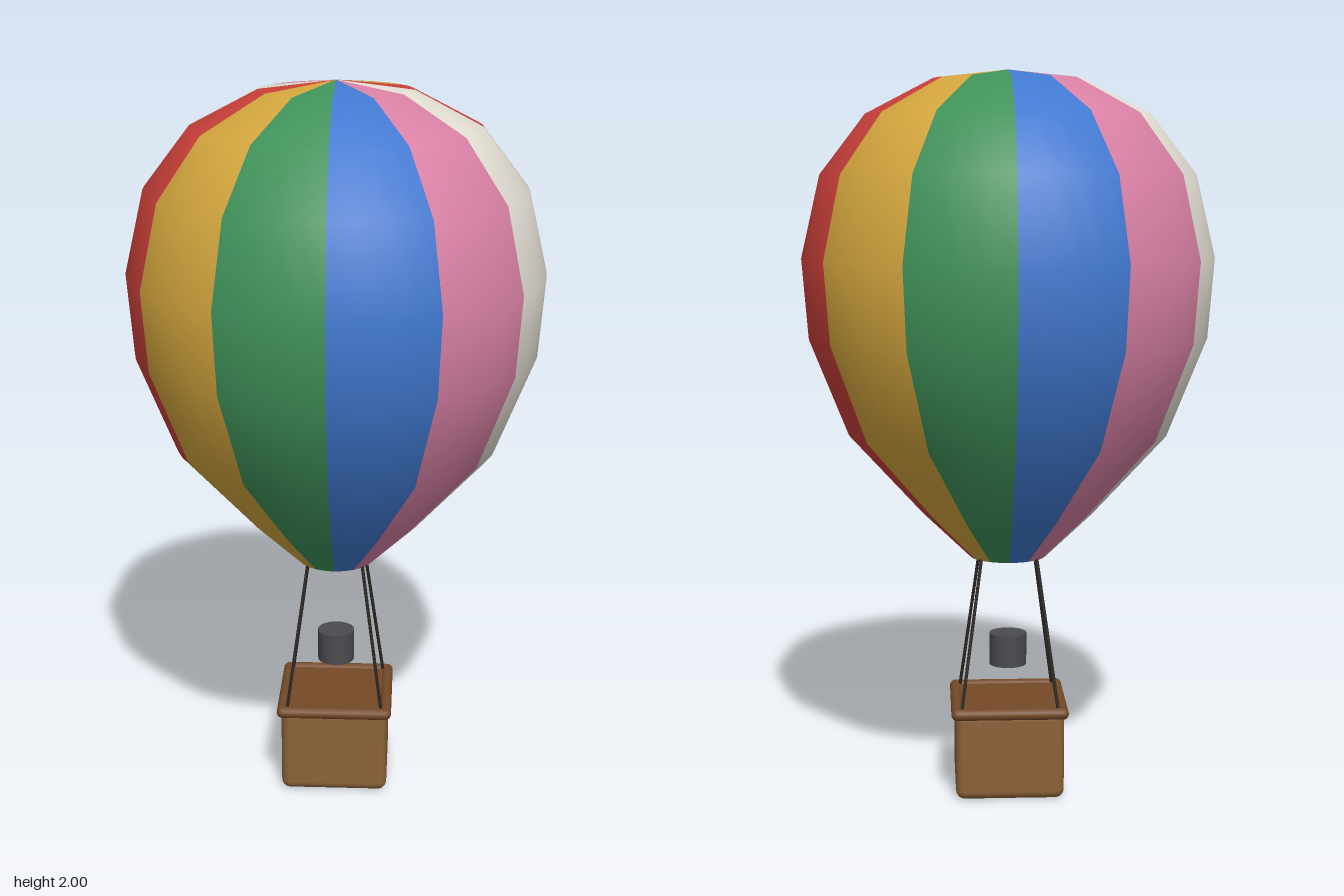
import * as THREE from 'three';
import { RoundedBoxGeometry } from 'three/addons/geometries/RoundedBoxGeometry.js';

const material = (color, side = THREE.FrontSide) => new THREE.MeshStandardMaterial({ color, side });

function addMesh(parent, name, geometry, mat) {
  const mesh = new THREE.Mesh(geometry, mat);
  mesh.name = name;
  parent.add(mesh);
  return mesh;
}

// Round bar between two points
function addBar(parent, name, from, to, radius, sides, mat) {
  const dir = to.clone().sub(from);
  const bar = addMesh(parent, name, new THREE.CylinderGeometry(radius, radius, dir.length(), sides), mat);
  bar.position.copy(from).add(to).multiplyScalar(0.5);
  bar.quaternion.setFromUnitVectors(new THREE.Vector3(0, 1, 0), dir.normalize());
  return bar;
}

// Twelve gores in six repeating colours, open at the mouth
function createEnvelope() {
  const envelope = new THREE.Group();
  envelope.name = 'envelope';
  const profile = [
    [0.106, 0.667], [0.238, 0.794], [0.44, 1.016], [0.545, 1.28], [0.562, 1.497],
    [0.51, 1.72], [0.387, 1.88], [0.205, 1.975], [0, 2],
  ].map(([r, y]) => new THREE.Vector2(r, y));
  const colors = [0x4078d0, 0xd880a4, 0xe4dfd4, 0xcc403a, 0xd4a63e, 0x40925a];
  const mats = colors.map((c) => material(c, THREE.DoubleSide));
  const gores = 12;
  const step = (Math.PI * 2) / gores;
  for (let i = 0; i < gores; i++) {
    addMesh(envelope, 'gore', new THREE.LatheGeometry(profile, 4, i * step, step), mats[i % mats.length]);
  }
  return envelope;
}

function createBasket() {
  const basket = new THREE.Group();
  basket.name = 'basket';
  addMesh(basket, 'basketBody', new RoundedBoxGeometry(0.3, 0.25, 0.3, 3, 0.025), material(0x8c6239))
    .position.y = 0.13;

  // Padded rim: four round bars with ball corners
  const rimMat = material(0x754a28);
  const half = 0.146, y = 0.25, radius = 0.016;
  const corners = [[1, 1], [1, -1], [-1, -1], [-1, 1]]
    .map(([x, z]) => new THREE.Vector3(x * half, y, z * half));
  corners.forEach((corner, i) => {
    addBar(basket, 'rimBar', corner, corners[(i + 1) % 4], radius, 12, rimMat);
    addMesh(basket, 'rimCorner', new THREE.SphereGeometry(radius, 12, 8), rimMat).position.copy(corner);
  });

  // Deck closing the top inside the rim
  addMesh(basket, 'basketDeck', new THREE.BoxGeometry(half * 2, 0.02, half * 2), rimMat).position.y = 0.248;
  return basket;
}

export function createModel() {
  const model = new THREE.Group();
  model.name = 'hotAirBalloon';
  model.add(createEnvelope(), createBasket());

  // Burner
  addMesh(model, 'burner', new THREE.CylinderGeometry(0.052, 0.052, 0.09, 20), material(0x4a4a50))
    .position.y = 0.4;

  // Ropes from the basket corners to the mouth
  const ropeMat = material(0x2a2622);
  for (const sx of [-1, 1]) {
    for (const sz of [-1, 1]) {
      addBar(model, 'rope',
        new THREE.Vector3(sx * 0.134, 0.25, sz * 0.134),
        new THREE.Vector3(sx * 0.076, 0.675, sz * 0.076), 0.005, 6, ropeMat);
    }
  }
  return model;
}
